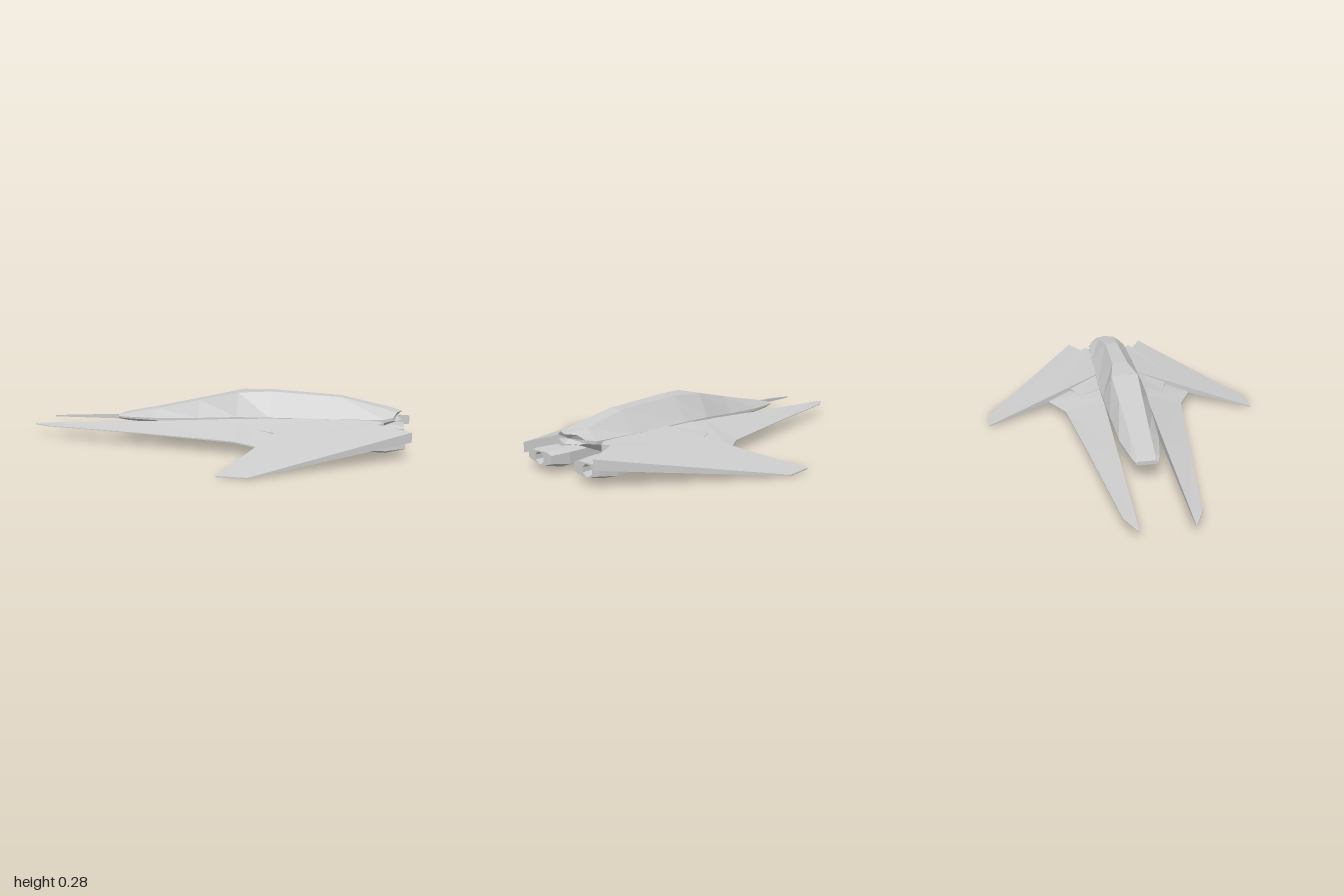
import * as THREE from 'three';

const material = new THREE.MeshStandardMaterial({ color: 0xcccccc, flatShading: true });

// Closed solid from triangles; winding is turned outward by its signed volume
function solid(name, tris) {
  const a = new THREE.Vector3(), b = new THREE.Vector3(), c = new THREE.Vector3();
  let volume = 0;
  for (const t of tris) volume += a.set(...t[0]).dot(b.set(...t[1]).cross(c.set(...t[2])));
  const pos = tris.flatMap(t => (volume < 0 ? [t[0], t[2], t[1]] : t).flat());
  const g = new THREE.BufferGeometry();
  g.setAttribute('position', new THREE.Float32BufferAttribute(pos, 3));
  g.computeVertexNormals();
  const mesh = new THREE.Mesh(g, material);
  mesh.name = name;
  return mesh;
}

// Skin a row of rings with equal point counts and close both ends
function loft(name, rings) {
  const tris = [], n = rings[0].length;
  for (let i = 0; i + 1 < rings.length; i++) {
    for (let j = 0; j < n; j++) {
      const k = (j + 1) % n, p = rings[i], q = rings[i + 1];
      tris.push([p[j], p[k], q[k]], [p[j], q[k], q[j]]);
    }
  }
  const cap = (r, flip) => {
    const m = [0, 1, 2].map(d => r.reduce((s, p) => s + p[d], 0) / n);
    r.forEach((p, j) => {
      const q = r[(j + 1) % n];
      tris.push(flip ? [m, q, p] : [m, p, q]);
    });
  };
  cap(rings[0], true);
  cap(rings[rings.length - 1], false);
  return solid(name, tris);
}

// Plate over an outline of [x, z, yTop, yBottom]; s mirrors it across z
function plate(name, outline, s) {
  const tris = [], n = outline.length;
  const top = outline.map(([x, z, y]) => [x, y, z * s]);
  const low = outline.map(([x, z, , y]) => [x, y, z * s]);
  const faces = THREE.ShapeUtils.triangulateShape(outline.map(p => new THREE.Vector2(p[0], p[1])), []);
  const area = ([i, j, k]) => (outline[j][0] - outline[i][0]) * (outline[k][1] - outline[i][1])
    - (outline[j][1] - outline[i][1]) * (outline[k][0] - outline[i][0]);
  const turn = THREE.ShapeUtils.area(outline.map(p => new THREE.Vector2(p[0], p[1]))) > 0;
  for (const f of faces) {
    const [i, j, k] = (area(f) > 0) === turn ? f : [f[0], f[2], f[1]];
    tris.push([top[i], top[j], top[k]], [low[i], low[k], low[j]]);
  }
  for (let i = 0; i < n; i++) {
    const k = (i + 1) % n;
    tris.push([top[k], top[i], low[i]], [top[k], low[i], low[k]]);
  }
  return solid(name, tris);
}

// Faceted fuselage: x, roof half width and y, shoulder half width and y, chine y, belly half width and y
function fuselage() {
  const sections = [
    [-0.54, 0.04, 0.122, 0.055, 0.115, 0.11, 0.045, 0.102],
    [-0.5, 0.045, 0.132, 0.068, 0.116, 0.108, 0.05, 0.096],
    [-0.32, 0.052, 0.168, 0.1, 0.122, 0.11, 0.055, 0.086],
    [-0.08, 0.062, 0.222, 0.113, 0.135, 0.115, 0.06, 0.07],
    [0.13, 0.072, 0.27, 0.123, 0.15, 0.12, 0.065, 0.05],
    [0.3, 0.042, 0.277, 0.125, 0.155, 0.12, 0.066, 0.038],
    [0.65, 0.036, 0.26, 0.12, 0.16, 0.12, 0.066, 0.038],
    [0.87, 0.05, 0.212, 0.11, 0.165, 0.15, 0.066, 0.13],
    [0.955, 0.055, 0.196, 0.09, 0.175, 0.16, 0.065, 0.153],
  ];
  const last = sections.length - 1;
  return loft('fuselage', sections.map(([x, wt, yt, wm, ym, yc, wb, yb], i) => {
    const half = [[wt, yt], [wm, ym], [wm, yc], [wb, yb]];
    const ring = [[0, yt], ...half, [0, yb], ...half.reverse().map(([z, y]) => [-z, y])];
    // The tail end is swept back to a shallow point
    return ring.map(([z, y]) => [i === last ? x - 0.45 * Math.abs(z) : x, y, z]);
  }));
}

// Long forward prong blending into the wing: x, outer z, outer top, outer bottom, inner top, inner bottom
function strake(s) {
  const sections = [
    [-1, 0.125, 0.066, 0.062, 0.068, 0.062],
    [-0.9, 0.175, 0.068, 0.064, 0.076, 0.063],
    [-0.35, 0.252, 0.07, 0.066, 0.108, 0.07],
    [0.15, 0.325, 0.067, 0.06, 0.142, 0.062],
    [0.31, 0.41, 0.061, 0.054, 0.15, 0.058],
    [0.62, 0.32, 0.07, 0.06, 0.15, 0.058],
  ];
  return loft('strake', sections.map(([x, z, a, b, c, d]) =>
    [[x, c, 0.12 * s], [x, a, z * s], [x, b, z * s], [x, d, 0.12 * s]]));
}

// Engine pod with a recessed round nozzle
function nacelle(s) {
  // Outline as [z, y], starting at the upper outer corner
  const outline = [[0.25, 0.09], [0.215, 0.105], [0.1, 0.105], [0.06, 0.09],
    [0.06, 0.035], [0.12, 0.012], [0.16, 0.012], [0.25, 0.04]];
  const ring = (x, k, lift = 0) => outline.map(([z, y]) =>
    [x, 0.085 + (y - 0.085) * k + lift, (0.155 + (z - 0.155) * (0.5 + 0.5 * k)) * s]);
  const circle = (x, r) => outline.map((_, i) => {
    const t = Math.PI / 8 + i * Math.PI / 4;
    return [x, 0.065 + r * Math.sin(t), (0.16 + r * Math.cos(t)) * s];
  });
  return loft('engineNacelle', [ring(0.58, 0.35), ring(0.615, 0.6), ring(0.66, 0.97),
    ring(0.88, 1), ring(0.97, 0.68), circle(0.97, 0.03), circle(0.92, 0.025)]);
}

export function createModel() {
  const model = new THREE.Group();
  model.name = 'spacecraft';
  model.add(fuselage());
  for (const s of [1, -1]) {
    const side = new THREE.Group();
    side.name = s > 0 ? 'leftSide' : 'rightSide';
    side.add(strake(s), nacelle(s));
    // Forward-swept drooping wing with a notched trailing edge
    side.add(plate('wing', [
      [0.43, 0.115, 0.16, 0.07], [0.31, 0.41, 0.087, 0.055], [0.17, 0.745, 0.006, 0],
      [0.31, 0.745, 0.006, 0], [1, 0.23, 0.133, 0.085], [0.84, 0.165, 0.15, 0.09],
      [0.87, 0.14, 0.156, 0.09], [0.83, 0.115, 0.16, 0.08],
    ], s));
    // Raised panel ahead of the wing root
    side.add(plate('rootPanel', [
      [0.245, 0.12, 0.151, 0.13], [0.245, 0.235, 0.112, 0.09],
      [0.365, 0.28, 0.107, 0.08], [0.43, 0.12, 0.154, 0.13],
    ], s));
    model.add(side);
  }
  return model;
}
